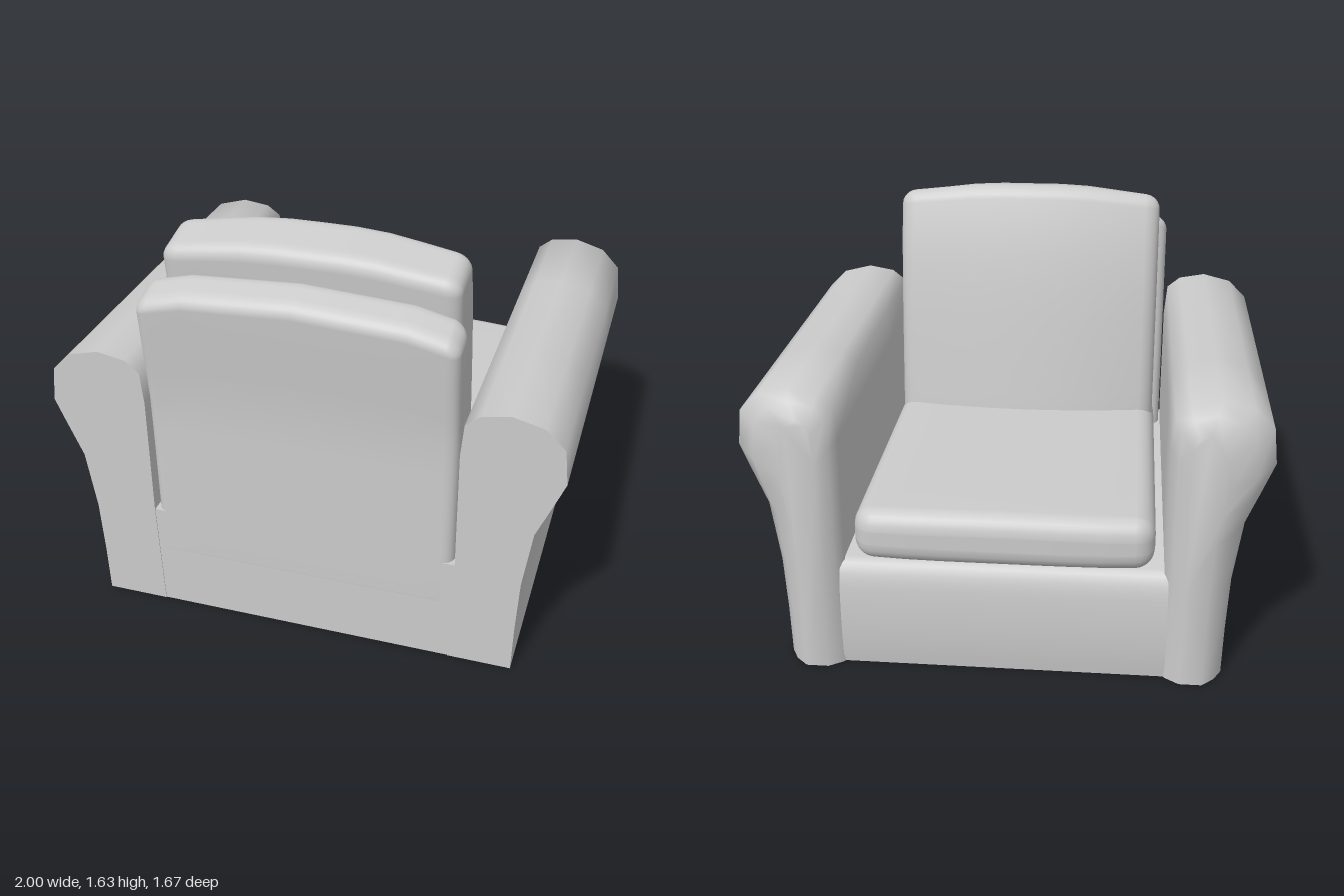
import * as THREE from 'three';
import { mergeVertices, toCreasedNormals } from 'three/addons/utils/BufferGeometryUtils.js';

const material = new THREE.MeshStandardMaterial({ color: 0xcccccc });

function part(name, geometry) {
  const mesh = new THREE.Mesh(geometry, material);
  mesh.name = name;
  return mesh;
}

// Soft block: rounded box with dense edges, each vertex then moved by warp(p, half)
function softBlock(w, h, d, r, warp) {
  const n = 14, edge = 3;
  const half = new THREE.Vector3(w / 2, h / 2, d / 2);
  let geo = new THREE.BoxGeometry(2, 2, 2, n, n, n);
  geo.deleteAttribute('uv');
  geo.deleteAttribute('normal');
  geo = mergeVertices(geo);
  const spread = (s, size) => {
    const k = Math.round((s + 1) / 2 * n), fromEdge = Math.min(k, n - k);
    if (fromEdge < edge) return Math.sign(s) * (size - r * fromEdge / edge);
    return (size - r) * (2 * (k - edge) / (n - 2 * edge) - 1);
  };
  const pos = geo.attributes.position;
  const p = new THREE.Vector3(), core = new THREE.Vector3();
  const inner = half.clone().subScalar(r);
  for (let i = 0; i < pos.count; i++) {
    p.fromBufferAttribute(pos, i);
    p.set(spread(p.x, half.x), spread(p.y, half.y), spread(p.z, half.z));
    core.copy(p).clamp(inner.clone().negate(), inner);
    p.sub(core).setLength(r).add(core);
    warp(p, half);
    pos.setXYZ(i, p.x, p.y, p.z);
  }
  geo.computeVertexNormals();
  return geo;
}

// Closed loft through rings of [x, y, z], running from +z to -z
function loft(rings, crease) {
  const m = rings[0].length, index = [];
  for (let i = 0; i < rings.length - 1; i++) {
    for (let j = 0; j < m; j++) {
      const a = i * m + j, b = i * m + (j + 1) % m;
      index.push(a, a + m, b + m, a, b + m, b);
    }
  }
  const cap = (ring) => THREE.ShapeUtils.triangulateShape(ring.map(([x, y]) => new THREE.Vector2(x, y)), []);
  const last = (rings.length - 1) * m;
  for (const [a, b, c] of cap(rings[0])) index.push(a, b, c);
  for (const [a, b, c] of cap(rings[rings.length - 1])) index.push(last + a, last + c, last + b);
  const geo = new THREE.BufferGeometry();
  geo.setAttribute('position', new THREE.Float32BufferAttribute(rings.flat(2), 3));
  geo.setIndex(index);
  return toCreasedNormals(geo, crease);
}

// Flared arm with a rolled top and a rounded front end
function arm(side) {
  let section = [
    [0.6, 0], [0.85, 0], [0.855, 0.2], [0.866, 0.42], [0.9, 0.66], [0.955, 0.79], [1, 0.9],
    [0.985, 1.04], [0.91, 1.115], [0.79, 1.145], [0.68, 1.125], [0.625, 1.08], [0.613, 0.95], [0.613, 0.44],
  ];
  const ring = (z, shrink = 0, lower = 0, outerBack = 0) => section.map(([x, y]) => [
    side * THREE.MathUtils.lerp(x, 0.73, shrink), y * (1 - lower),
    z + outerBack * Math.max(0, (x - 0.6) / 0.4),
  ]);
  const rings = [
    ring(0.795), ring(0.3), ring(-0.3), ring(-0.76, 0, 0, 0.04),
    ring(-0.8, 0.25, 0.03, 0.015), ring(-0.835, 0.65, 0.08),
  ];
  if (side < 0) rings.forEach((r) => r.reverse());
  return loft(rings, 1.15);
}

export function createModel() {
  const group = new THREE.Group();

  // Base between the arms, with a slightly bulging front panel
  const profile = new THREE.Shape();
  profile.moveTo(-0.79, 0);
  profile.lineTo(0.792, 0);
  profile.lineTo(0.792, 0.45);
  profile.lineTo(-0.74, 0.45);
  profile.quadraticCurveTo(-0.79, 0.44, -0.8, 0.34);
  profile.quadraticCurveTo(-0.815, 0.15, -0.79, 0);
  const base = new THREE.ExtrudeGeometry(profile, { depth: 1.26, bevelEnabled: false, curveSegments: 6 });
  base.translate(0, 0, -0.63).rotateY(-Math.PI / 2);
  group.add(part('base', toCreasedNormals(base, 0.8)));

  group.add(part('leftArm', arm(1)), part('rightArm', arm(-1)));

  // Backrest leaning outward, its top falling to the sides and rear
  const backrest = softBlock(1.21, 1.3, 0.17, 0.05, (p, half) => {
    const t = (p.y + half.y) / (2 * half.y), y = 0.22 + 1.295 * t;
    const v = (p.z + half.z) / (2 * half.z);
    const front = 0.6 + 0.08 * t, rear = 0.793 + 0.047 * Math.max(0, (y - 1) / 0.48);
    const ax = Math.abs(p.x);
    const drop = 0.06 * ax + 0.35 * Math.max(0, ax - 0.48);
    p.y = y - t * t * (drop + 0.05 * v);
    p.z = THREE.MathUtils.lerp(front, rear, v);
  });
  group.add(part('backrest', backrest));

  // Back cushion, thicker at the bottom, bulging forward in the middle
  const backCushion = softBlock(1.13, 1.07, 0.3, 0.06, (p, half) => {
    const t = (p.y + half.y) / (2 * half.y), y = 0.56 + 1.08 * t;
    const v = (p.z + half.z) / (2 * half.z);
    const ax = Math.abs(p.x);
    const front = 0.21 + 0.155 * t + 0.06 * t ** 5 + 0.08 * (ax / half.x) ** 2 * (1 - 0.5 * t);
    const rear = 0.575 + 0.092 * t;
    p.y = y - t * t * (0.13 * Math.max(0, ax - 0.2) + 0.05 * v);
    p.z = THREE.MathUtils.lerp(front, rear, v);
  });
  group.add(part('backCushion', backCushion));

  // Seat cushion
  const seatCushion = softBlock(1.15, 0.21, 1.32, 0.075, (p, half) => {
    const u = Math.abs(p.x) / half.x;
    if (p.z < 0) p.z += 0.025 * u ** 4 * (-p.z / half.z);
    if (p.y > 0) p.y += 0.01 * (1 - u * u);
    p.y += 0.555;
    p.z -= 0.15;
  });
  group.add(part('seatCushion', seatCushion));

  return group;
}
